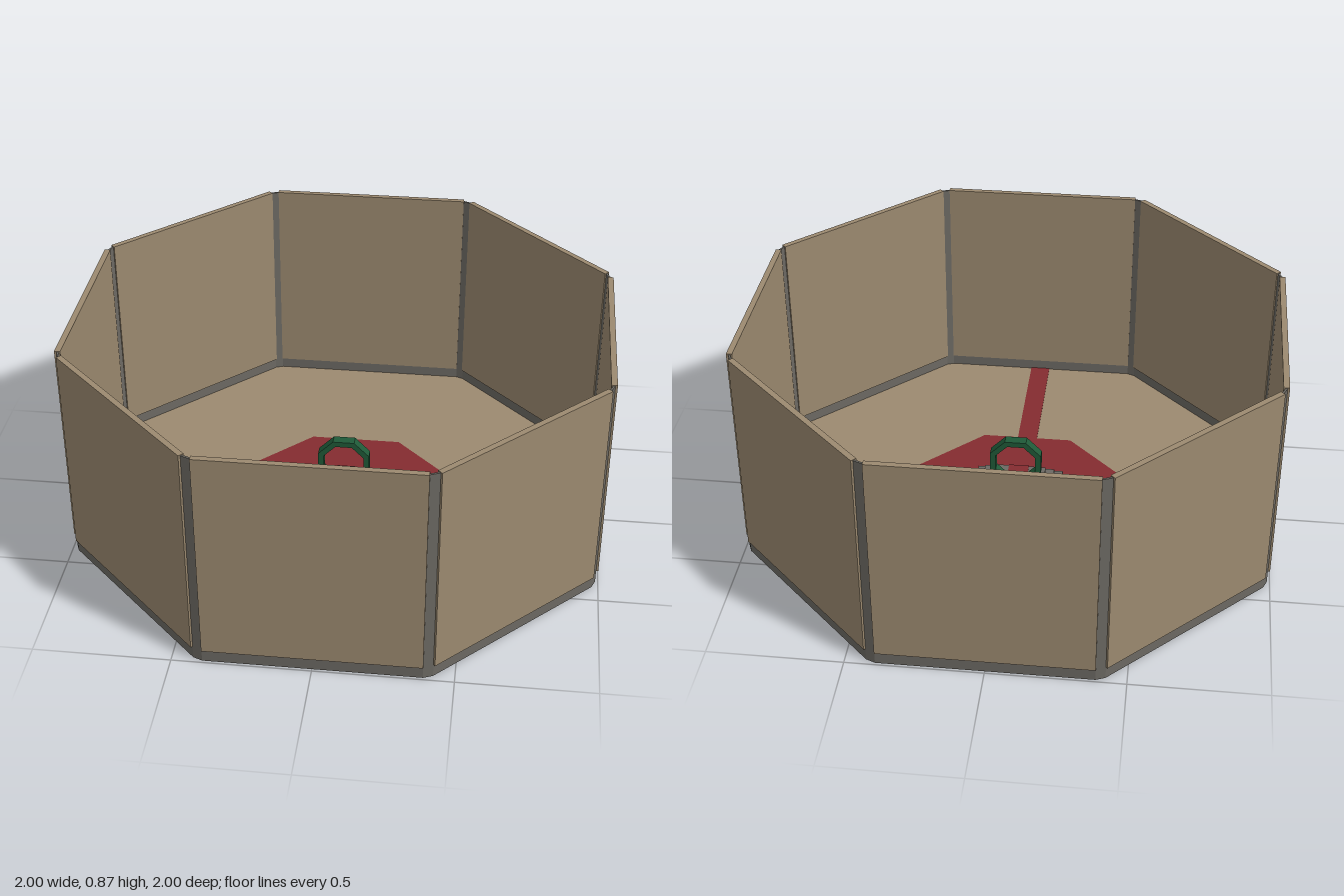
import * as THREE from 'three';

const mat = (color) => new THREE.MeshStandardMaterial({ color, flatShading: true, side: THREE.DoubleSide });

// Octagon outline from its apothem; a half side under the natural length gives cut corners
function octagon(apothem, half = apothem * Math.tan(Math.PI / 8), Type = THREE.Shape) {
  const points = [];
  for (let k = 0; k < 8; k++) {
    const a = (k * Math.PI) / 4, c = Math.cos(a), s = Math.sin(a);
    for (const t of [-half, half]) points.push(new THREE.Vector2(apothem * c - t * s, apothem * s + t * c));
  }
  return new Type(points);
}

// Flat outline raised from y0 to y1
function slab(shape, y0, y1) {
  const g = new THREE.ExtrudeGeometry(shape, { depth: y1 - y0, bevelEnabled: false });
  return g.rotateX(-Math.PI / 2).translate(0, y0, 0);
}

export function createModel() {
  const group = new THREE.Group();
  const wall = mat(0x9c8a70), stone = mat(0x6c6963), red = mat(0x842c30), green = mat(0x1f5a38);
  const add = (name, geometry, material, parent = group) => {
    const mesh = new THREE.Mesh(geometry, material);
    mesh.name = name;
    parent.add(mesh);
    return mesh;
  };
  const box = (w, h, d, x, y, z) => new THREE.BoxGeometry(w, h, d).translate(x, y, z);

  const height = 0.87, sill = 0.05, half = 0.39;

  // Floor
  add('floor', slab(octagon(0.985, half), 0.002, 0.005), wall);

  // Stone frame showing as skirting and corner posts
  const ring = octagon(0.99, half);
  ring.holes.push(octagon(0.982, half, THREE.Path));
  add('frame', slab(ring, 0, height - 0.003), stone);

  // Eight wall panels, slightly proud of the frame on both sides
  for (let k = 0; k < 8; k++) {
    const panel = add('wallPanel', box(half * 2, height - sill, 0.022, 0, (height + sill) / 2, 0.987), wall);
    panel.rotation.y = (k * Math.PI) / 4;
  }

  // Carpet with a path to the front
  add('carpet', slab(octagon(0.435), 0, 0.008), red);
  add('carpetPath', box(0.08, 0.008, 0.56, 0, 0.004, 0.705), red);

  // Stepped dais with a runner over it
  const dais = new THREE.Group();
  dais.name = 'dais';
  group.add(dais);
  const rise = 0.03;
  [0.172, 0.14, 0.108].forEach((r, i) => {
    const y = 0.008 + rise * (i + 0.5);
    add('step', box(r * 2, rise, r * 2, 0, y, 0), stone, dais);
    add('stepRunner', box(0.08, rise, r * 2 + 0.004, 0, y + 0.002, 0), red, dais);
  });

  // Upright octagonal ring standing on the dais
  const gate = octagon(0.1);
  gate.holes.push(octagon(0.078, undefined, THREE.Path));
  const gateGeometry = new THREE.ExtrudeGeometry(gate, { depth: 0.04, bevelEnabled: false });
  add('uprightRing', gateGeometry.translate(0, 0.2, -0.02), green);

  return group;
}
